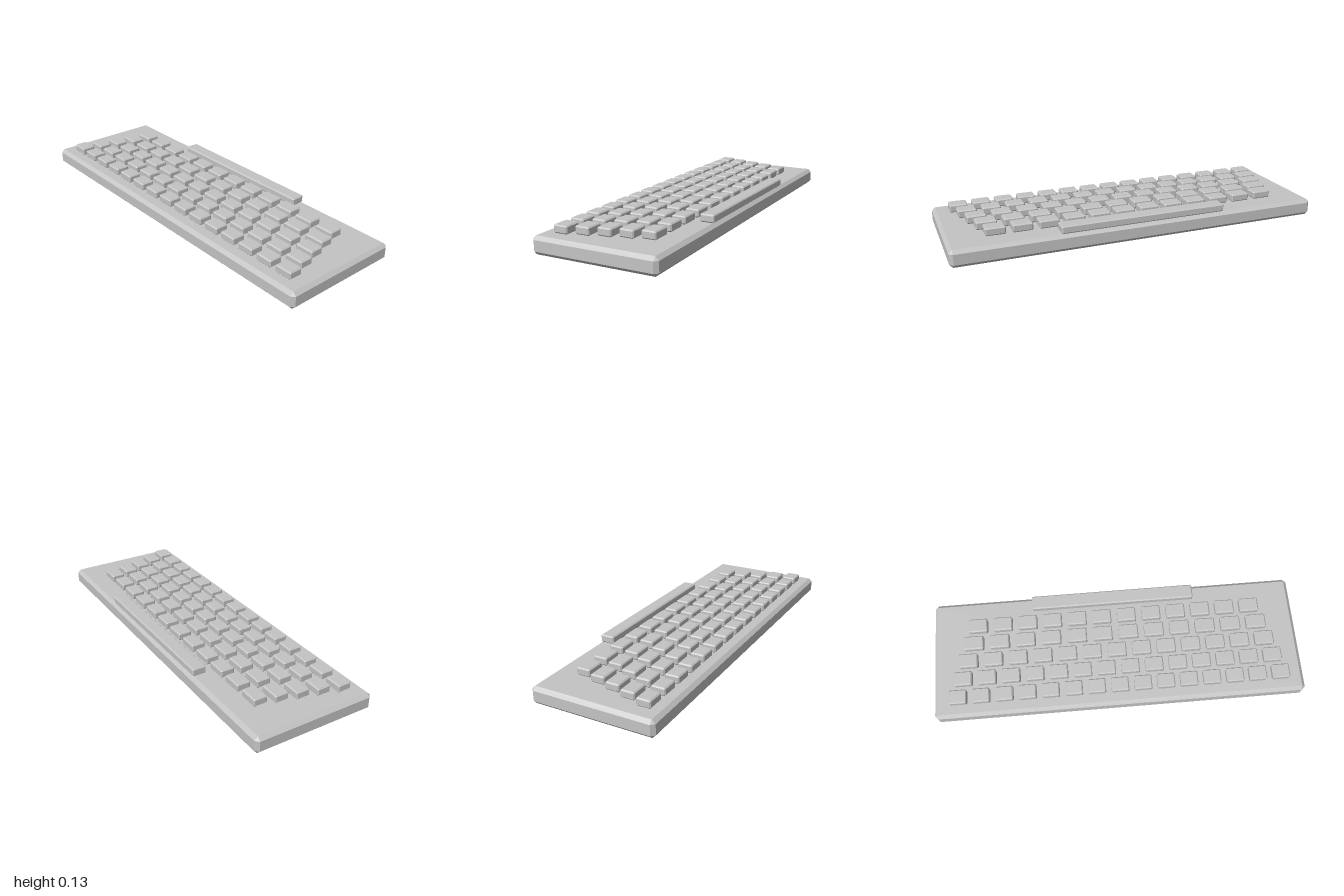
import * as THREE from 'three';
import { ConvexGeometry } from 'three/addons/geometries/ConvexGeometry.js';

// Box with every edge cut by a flat chamfer c; corners become small triangles
function chamferBox(w, h, d, c) {
  const points = [];
  for (const sx of [-1, 1]) for (const sy of [-1, 1]) for (const sz of [-1, 1]) {
    const x = w / 2, y = h / 2, z = d / 2;
    points.push(
      new THREE.Vector3(sx * x, sy * (y - c), sz * (z - c)),
      new THREE.Vector3(sx * (x - c), sy * y, sz * (z - c)),
      new THREE.Vector3(sx * (x - c), sy * (y - c), sz * z)
    );
  }
  return new ConvexGeometry(points);
}

export function createModel() {
  const group = new THREE.Group();
  group.name = 'keyboard';
  const grey = new THREE.MeshStandardMaterial({ color: 0xc4c4c4 });
  grey.name = 'light grey';

  const add = (name, geometry, x, y, z, parent = group) => {
    const mesh = new THREE.Mesh(geometry, grey);
    mesh.name = name;
    mesh.position.set(x, y, z);
    parent.add(mesh);
  };

  // Case
  const caseHeight = 0.091;
  add('case', chamferBox(2, caseHeight, 0.66, 0.018), 0, caseHeight / 2, 0);

  // Key rows, front to back, each a little narrower than the last
  const keyHeight = 0.041, keyDepth = 0.076, bevel = 0.006;
  const keyY = caseHeight + keyHeight / 2;
  [15, 14, 13, 12, 12].forEach((count, row) => {
    const rowGroup = new THREE.Group();
    rowGroup.name = `keyRow${row + 1}`;
    group.add(rowGroup);
    const pitch = (1.865 - 0.055 * row) / count;
    const geometry = chamferBox(pitch * 0.76, keyHeight, keyDepth, bevel);
    for (let i = 0; i < count; i++) {
      add('key', geometry, (i - (count - 1) / 2) * pitch, keyY, 0.228 - 0.1 * row, rowGroup);
    }
  });

  // Long bar along the back edge
  add('longBar', chamferBox(0.9, keyHeight, keyDepth, bevel), 0, keyY, -0.282);

  return group;
}
